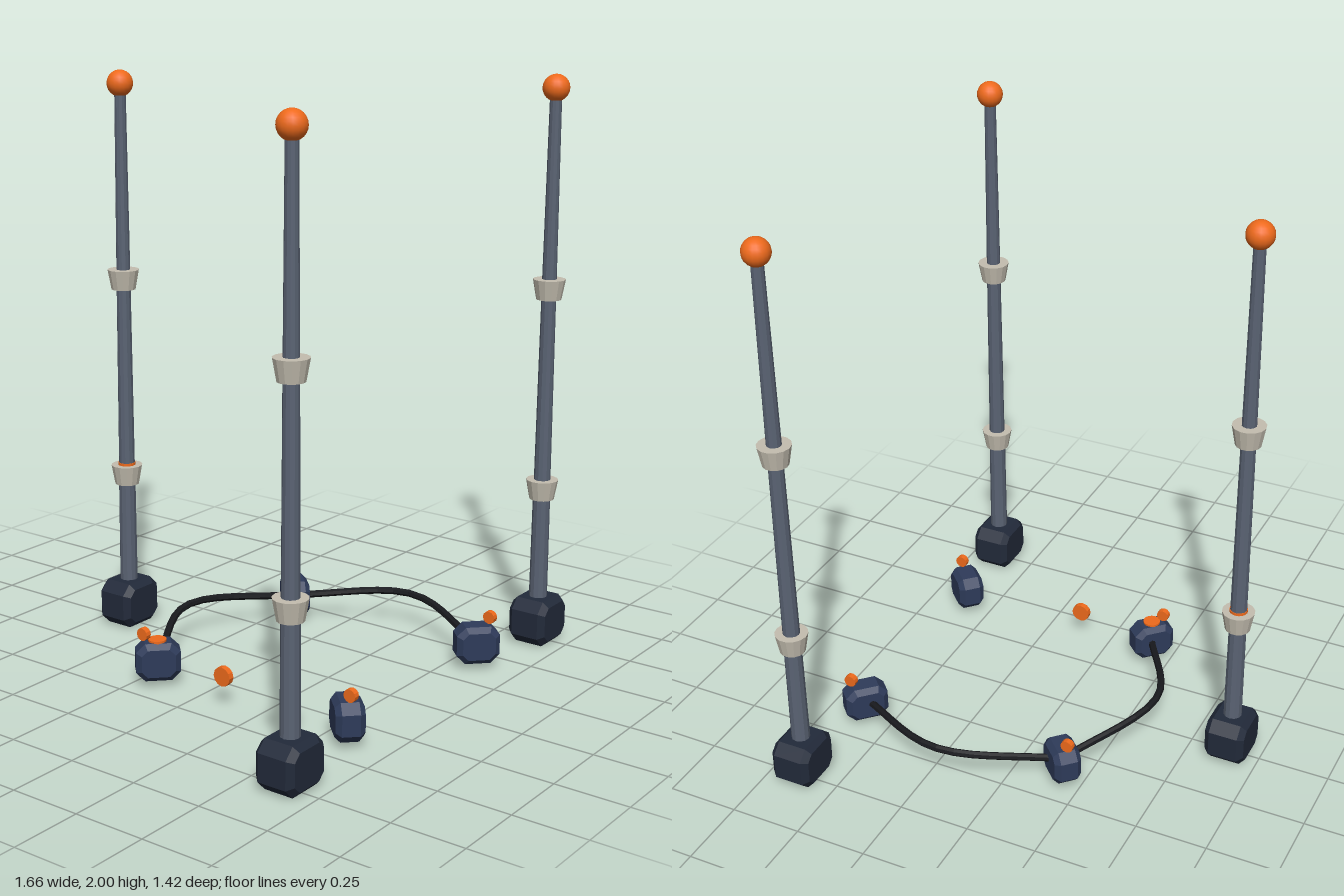
import * as THREE from 'three';

const mat = (color, flatShading = true) => new THREE.MeshStandardMaterial({ color, flatShading });
const MATS = {
  base: mat(0x222a3a),
  pole: mat(0x5a6373),
  collar: mat(0xc4beb0),
  orange: mat(0xee6a1c),
  orangeSmooth: mat(0xee6a1c, false),
  box: mat(0x2e3b5a),
  cable: mat(0x191a1e),
};

function add(parent, name, geometry, material, x = 0, y = 0, z = 0) {
  const mesh = new THREE.Mesh(geometry, material);
  mesh.name = name;
  mesh.position.set(x, y, z);
  parent.add(mesh);
  return mesh;
}

// Block with an octagonal face and bevelled front and back rims
function chamferedBlock(w, h, d, cut, bevel) {
  const x = w / 2 - bevel, y = h / 2 - bevel, c = cut;
  const shape = new THREE.Shape([
    [x - c, -y], [x, -y + c], [x, y - c], [x - c, y],
    [-x + c, y], [-x, y - c], [-x, -y + c], [-x + c, -y],
  ].map(([a, b]) => new THREE.Vector2(a, b)));
  const depth = d - 2 * bevel;
  const geometry = new THREE.ExtrudeGeometry(shape, {
    depth, bevelEnabled: true, bevelThickness: bevel, bevelSize: bevel, bevelSegments: 1,
  });
  return geometry.translate(0, 0, -depth / 2);
}

// Disc lying across x, like a small wheel
const sideDisc = (r, w) => new THREE.CylinderGeometry(r, r, w, 12).rotateZ(Math.PI / 2);

// Telescoping mast: foot, three pole stages, two flared collars, ball tip
function createMast(name, x, z) {
  const mast = new THREE.Group();
  mast.name = name;
  mast.position.set(x, 0, z);
  add(mast, 'mastFoot', chamferedBlock(0.185, 0.164, 0.142, 0.024, 0.02), MATS.base, 0, 0.082, 0);

  const stages = [
    [0.14, 0.56, 0.032, 0.03],
    [0.56, 1.27, 0.029, 0.025],
    [1.27, 1.94, 0.025, 0.02],
  ];
  for (const [y0, y1, r0, r1] of stages) {
    add(mast, 'poleStage', new THREE.CylinderGeometry(r1, r0, y1 - y0, 12), MATS.pole, 0, (y0 + y1) / 2, 0);
  }
  for (const y of [0.56, 1.272]) {
    add(mast, 'collar', new THREE.CylinderGeometry(0.056, 0.043, 0.07, 14), MATS.collar, 0, y, 0);
  }
  add(mast, 'tipBall', new THREE.SphereGeometry(0.046, 18, 12), MATS.orangeSmooth, 0, 1.954, 0);
  return mast;
}

export function createModel() {
  const model = new THREE.Group();
  model.name = 'mastAndSensorArray';

  // Three masts in a triangle
  model.add(createMast('leftMast', 0.74, 0.637));
  model.add(createMast('rightMast', -0.74, 0.637));
  const backMast = createMast('backMast', 0, -0.644);
  add(backMast, 'markerDisc', new THREE.CylinderGeometry(0.031, 0.031, 0.02, 16), MATS.orange, 0, 0.594, 0);
  model.add(backMast);

  // Four ground units, each pointing away from the centre of their square
  const midZ = 0.21, half = 0.387;
  for (const sx of [-1, 1]) {
    for (const sz of [-1, 1]) {
      const unit = new THREE.Group();
      unit.name = (sz > 0 ? 'front' : 'back') + (sx > 0 ? 'Left' : 'Right') + 'Unit';
      unit.position.set(sx * half, 0.088, midZ + sz * half);
      const body = add(unit, 'unitBody', chamferedBlock(0.15, 0.132, 0.095, 0.02, 0.018), MATS.box);
      body.rotation.y = Math.atan2(-sz, sx);
      add(unit, 'unitKnob', sideDisc(0.022, 0.021), MATS.orange, sx * 0.03, 0.091, sz * 0.034);
      model.add(unit);
    }
  }

  // Flat button on one unit and a loose disc beside it
  add(model, 'unitButton', new THREE.CylinderGeometry(0.031, 0.031, 0.02, 16), MATS.orange, -0.388, 0.151, -0.177);
  add(model, 'looseDisc', sideDisc(0.033, 0.021), MATS.orange, -0.4, 0.105, 0.115);

  // Cables arching between neighbouring units
  const spans = [
    ['backCable', [-half, 0.088, midZ - half], [0, 0.128, -0.357], [half, 0.088, midZ - half]],
    ['sideCable', [half, 0.088, midZ - half], [0.563, 0.128, midZ], [half, 0.088, midZ + half]],
  ];
  for (const [name, ...points] of spans) {
    const curve = new THREE.CatmullRomCurve3(points.map((p) => new THREE.Vector3(...p)));
    add(model, name, new THREE.TubeGeometry(curve, 14, 0.013, 7), MATS.cable);
  }
  return model;
}
